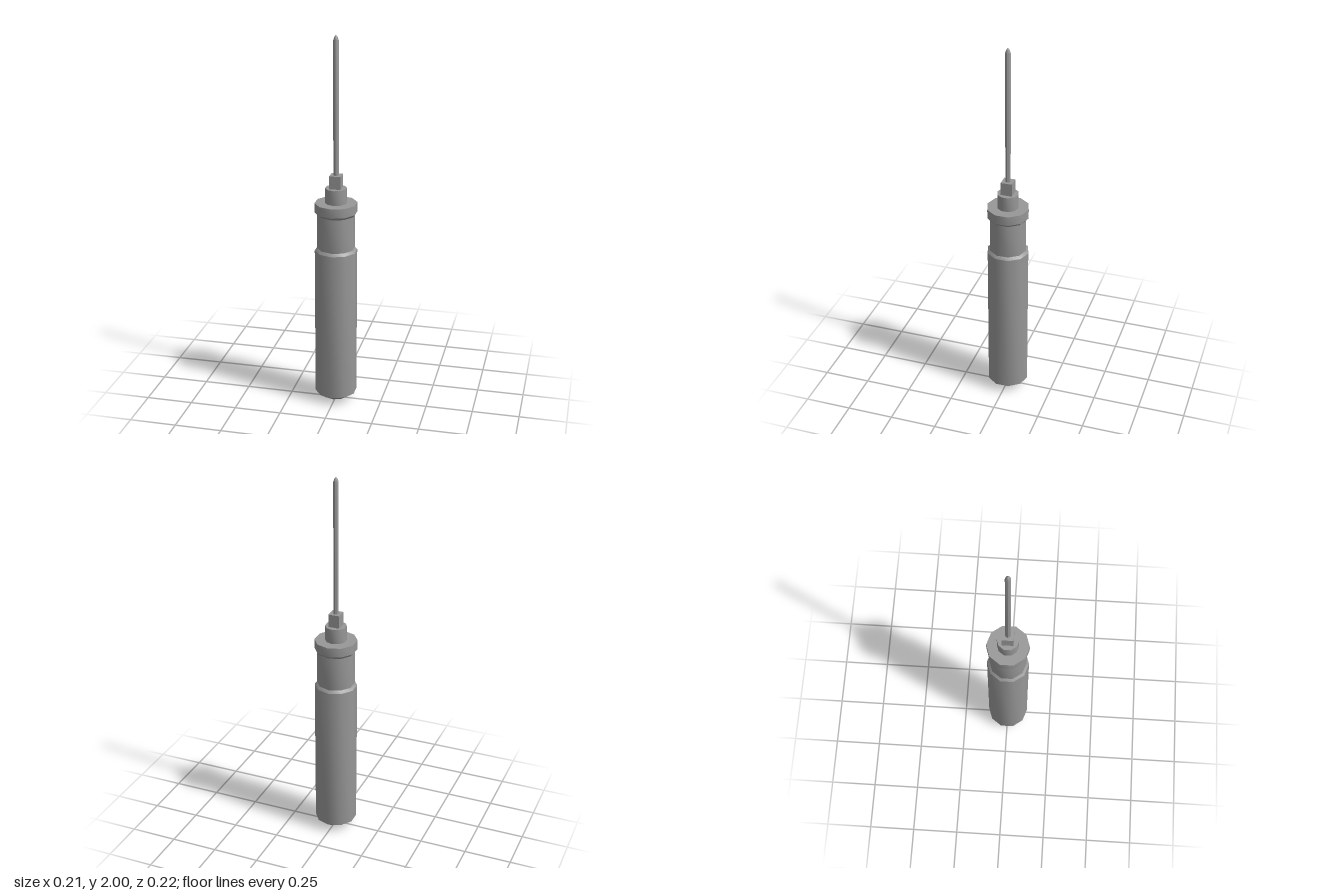
import * as THREE from 'three';
import { toCreasedNormals } from 'three/addons/utils/BufferGeometryUtils.js';

const material = new THREE.MeshStandardMaterial({ color: 0x979797 });

// Keeps turned sides smooth and every shoulder sharp
function addPart(group, name, geometry) {
  const mesh = new THREE.Mesh(toCreasedNormals(geometry, 0.64), material);
  mesh.name = name;
  group.add(mesh);
  return mesh;
}

// Turned part from [radius, height] pairs, bottom to top
function turned(profile, sides) {
  return new THREE.LatheGeometry(profile.map(([r, y]) => new THREE.Vector2(r, y)), sides);
}

export function createModel() {
  const model = new THREE.Group();
  model.name = 'screwdriver';

  // Grip with domed butt, recessed neck and flared rim
  addPart(model, 'handle', turned([
    [0, 0], [0.07, 0.018], [0.112, 0.047],
    [0.112, 0.865], [0.099, 0.879],
    [0.099, 1.063], [0.112, 1.077],
    [0.112, 1.127], [0, 1.127],
  ], 10));

  // Round collar on top of the handle
  addPart(model, 'collar', turned([[0.057, 1.127], [0.057, 1.207], [0, 1.207]], 10));

  // Square bolster
  const bolster = addPart(model, 'bolster', new THREE.BoxGeometry(0.06, 0.069, 0.06));
  bolster.position.y = 1.2415;

  // Thin eight-sided shaft ending in a faceted point
  addPart(model, 'shaft', turned([[0.0145, 1.276], [0.0145, 1.973], [0.008, 1.991], [0, 2]], 8));

  return model;
}
